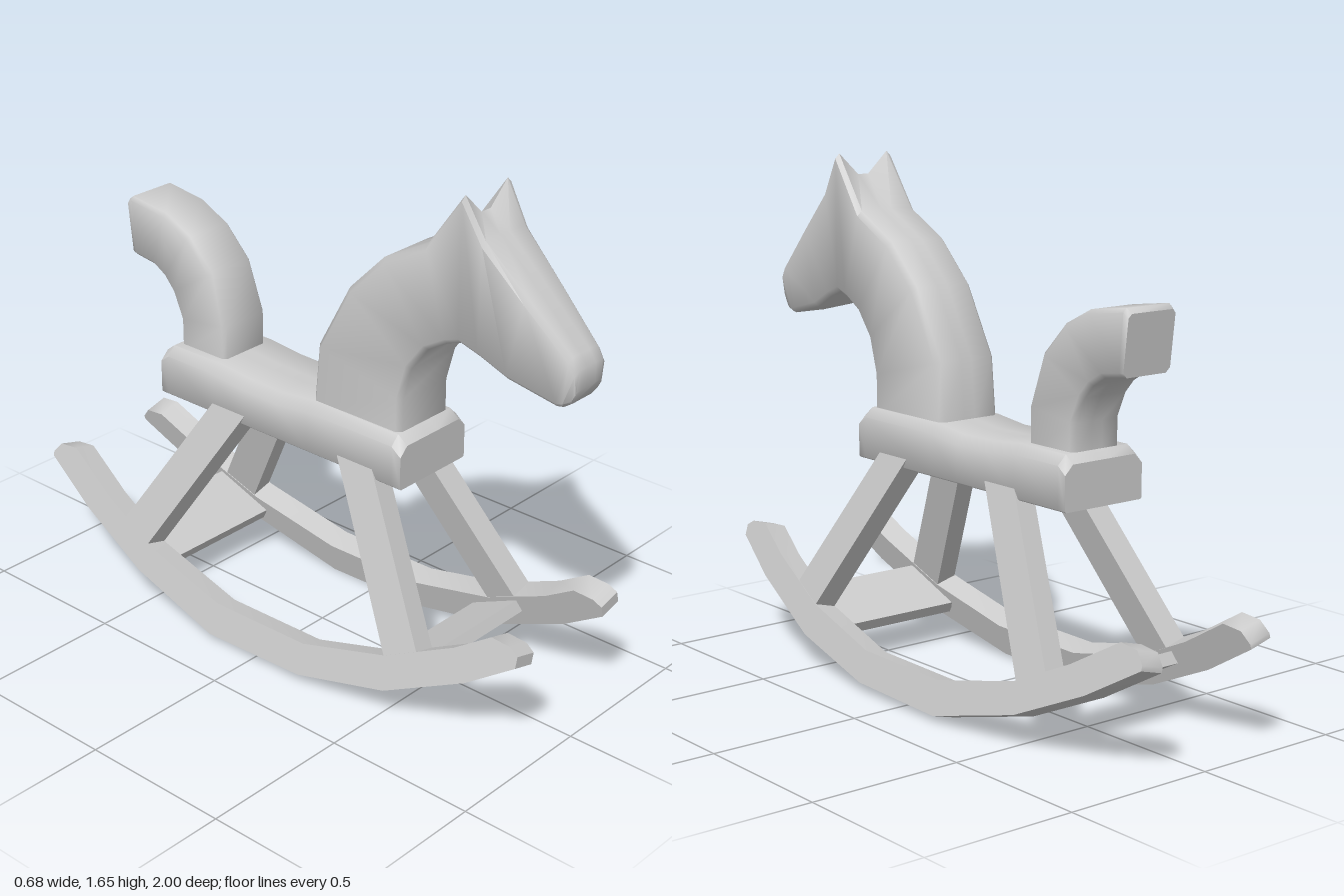
import * as THREE from 'three';
import { toCreasedNormals } from 'three/addons/utils/BufferGeometryUtils.js';

const material = new THREE.MeshStandardMaterial({ color: 0xcccccc });
const TILT = 0.26;      // inward lean of the rockers and legs
const FOOT_X = 0.303;   // distance of each rocker from the middle at floor level

function part(name, geometry) {
  const mesh = new THREE.Mesh(toCreasedNormals(geometry, 0.9), material);
  mesh.name = name;
  return mesh;
}

// Loft of chamfered rectangles. Each section is
// [outer z, outer y, inner z, inner y, half width, notch depth in the outer edge].
function loft(sections, outerChamfer, innerChamfer) {
  const positions = [], index = [];
  let n = 0;
  for (const [oz, oy, iz, iy, w, notch = 0] of sections) {
    const length = Math.hypot(oz - iz, oy - iy);
    const c = outerChamfer, k = innerChamfer;
    const ring = [
      [-(w - k), 0], [w - k, 0], [w, k], [w, length - c],
      [w - c, length], [0.02, length - notch], [-0.02, length - notch], [-(w - c), length],
      [-w, length - c], [-w, k],
    ];
    n = ring.length;
    for (const [x, h] of ring) {
      const t = h / length;
      positions.push(x, iy + (oy - iy) * t, iz + (oz - iz) * t);
    }
  }
  const last = (sections.length - 1) * n;
  for (let r = 0; r < last; r += n) {
    for (let j = 0; j < n; j++) {
      const k = (j + 1) % n;
      index.push(r + j, r + k, r + n + k, r + j, r + n + k, r + n + j);
    }
  }
  for (let j = 1; j < n - 1; j++) {
    index.push(0, j + 1, j, last, last + j, last + j + 1);
  }
  const geometry = new THREE.BufferGeometry();
  geometry.setAttribute('position', new THREE.Float32BufferAttribute(positions, 3));
  geometry.setIndex(index);
  return geometry;
}

// Board cut from a [z, y] outline, leaning inwards on the given side.
function leaningBoard(outline, thickness, side) {
  const shape = new THREE.Shape(outline.map(([z, y]) => new THREE.Vector2(z, y / Math.cos(TILT))));
  const geometry = new THREE.ExtrudeGeometry(shape, { depth: thickness, bevelEnabled: false });
  geometry.translate(0, 0, -thickness / 2);
  geometry.rotateY(-Math.PI / 2);
  geometry.rotateZ(side * TILT);
  geometry.translate(side * FOOT_X, 0, 0);
  return geometry;
}

export function createModel() {
  const model = new THREE.Group();
  model.name = 'rockingHorse';

  // Seat with a shallow dip
  model.add(part('seat', loft([
    [-0.562, 0.83, -0.562, 0.69, 0.15],
    [-0.53, 0.855, -0.53, 0.69, 0.15],
    [-0.33, 0.855, -0.33, 0.69, 0.15],
    [-0.2, 0.843, -0.2, 0.69, 0.15],
    [-0.06, 0.84, -0.06, 0.69, 0.15],
    [0.07, 0.855, 0.07, 0.69, 0.15],
    [0.41, 0.855, 0.41, 0.69, 0.15],
    [0.445, 0.828, 0.445, 0.69, 0.15],
  ], 0.03, 0.005)));

  // Neck and head, with the ears made by a notch across the crown
  model.add(part('neckAndHead', loft([
    [0.06, 0.83, 0.41, 0.83, 0.115],
    [0.08, 1.04, 0.41, 0.96, 0.115],
    [0.2, 1.26, 0.44, 1.07, 0.115],
    [0.33, 1.39, 0.5, 1.15, 0.115],
    [0.49, 1.475, 0.57, 1.19, 0.113],
    [0.615, 1.65, 0.615, 1.205, 0.11, 0.07],
    [0.685, 1.53, 0.68, 1.18, 0.103],
    [0.83, 1.395, 0.77, 1.135, 0.09],
    [0.975, 1.258, 0.93, 1.096, 0.073],
    [0.998, 1.225, 0.95, 1.098, 0.069],
    [1.0, 1.165, 0.972, 1.112, 0.06],
  ], 0.016, 0.016)));

  // Upright curved tail
  model.add(part('tail', loft([
    [-0.53, 0.83, -0.33, 0.83, 0.093],
    [-0.53, 0.94, -0.33, 0.965, 0.093],
    [-0.565, 1.02, -0.39, 1.13, 0.093],
    [-0.6, 1.06, -0.485, 1.228, 0.093],
    [-0.65, 1.09, -0.59, 1.28, 0.093],
    [-0.722, 1.1, -0.738, 1.3, 0.093],
    [-0.735, 1.1, -0.757, 1.285, 0.09],
  ], 0.015, 0.012)));

  const rocker = [
    [0.97, 0.335], [0.97, 0.37], [0.94, 0.388], [0.87, 0.392], [0.75, 0.315],
    [0.51, 0.2], [0.2, 0.12], [-0.17, 0.115], [-0.5, 0.19], [-0.72, 0.29],
    [-0.9, 0.392], [-0.97, 0.385], [-1, 0.35], [-1, 0.335], [-0.8, 0.22],
    [-0.53, 0.1], [-0.18, 0.01], [0.2, 0.02], [0.53, 0.097], [0.81, 0.23],
  ];
  const leg = [[0.33, 0.72], [0.19, 0.72], [0.53, 0.16], [0.635, 0.23]];

  // Rockers and legs, one set on each side
  for (const side of [1, -1]) {
    const name = side > 0 ? 'left' : 'right';
    model.add(part(name + 'Rocker', leaningBoard([...rocker].reverse(), 0.08, side)));
    for (const end of [1, -1]) {
      const outline = leg.map(([z, y]) => [z * end, y]);
      model.add(part(name + (end > 0 ? 'FrontLeg' : 'BackLeg'), leaningBoard(outline, 0.076, side)));
    }
  }

  // Flat crossbars lying along the slope of the rockers
  for (const end of [1, -1]) {
    const bar = part(end > 0 ? 'frontCrossbar' : 'backCrossbar', new THREE.BoxGeometry(0.46, 0.04, 0.21));
    bar.position.set(0, 0.167, end > 0 ? 0.545 : -0.565);
    bar.rotation.x = -end * 0.47;
    model.add(bar);
  }
  return model;
}
